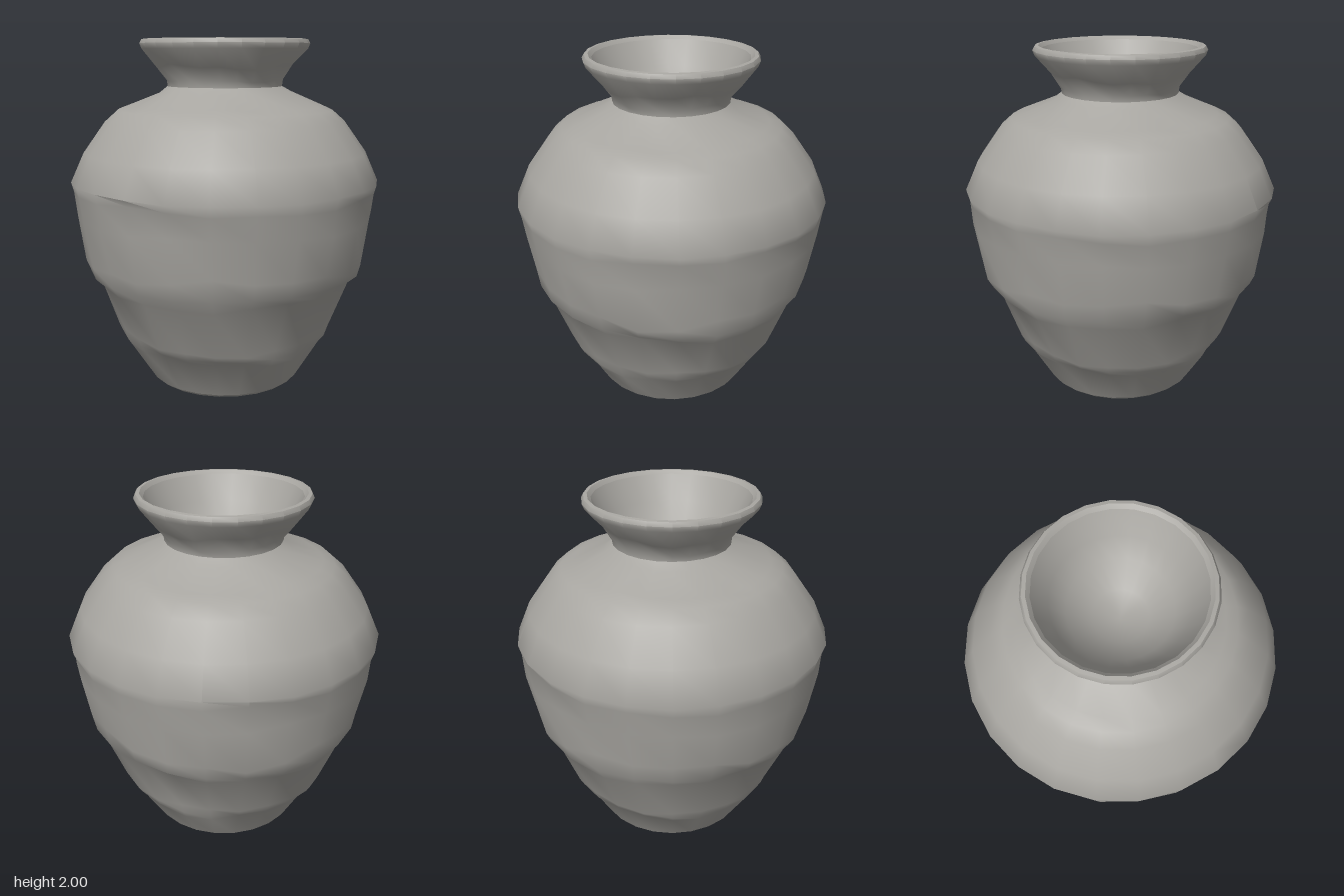
import * as THREE from 'three';
import { toCreasedNormals } from 'three/addons/utils/BufferGeometryUtils.js';

const SIDES = 24;

// Lathe a profile of [radius, height, unevenness] rings, bottom to top on the outside
function turned(name, profile, material) {
  const geo = new THREE.LatheGeometry(profile.map(([r, y]) => new THREE.Vector2(r, y)), SIDES);
  const pos = geo.attributes.position;
  const rings = profile.length;
  // Hand-shaped clay: each ring rises and swells a little around the pot
  for (let i = 0; i < pos.count; i++) {
    const ring = i % rings;
    const amount = profile[ring][2] || 0;
    const a = ((Math.floor(i / rings) % SIDES) / SIDES) * Math.PI * 2;
    const swell = 1 + amount * 0.35 * Math.sin(5 * a + ring * 2.1);
    const lift = amount * (Math.sin(3 * a + ring) + 0.7 * Math.sin(8 * a + ring * 1.7));
    pos.setXYZ(i, pos.getX(i) * swell, pos.getY(i) + lift, pos.getZ(i) * swell);
  }
  const mesh = new THREE.Mesh(toCreasedNormals(geo, 0.9), material);
  mesh.name = name;
  return mesh;
}

export function createModel() {
  const clay = new THREE.MeshStandardMaterial({ color: 0xa8a6a1 });
  clay.name = 'grey clay';

  const vase = new THREE.Group();
  vase.name = 'vase';

  // Flat foot
  vase.add(turned('foot', [[0, 0], [0.42, 0], [0.445, 0.02]], clay));

  // Body in stacked bands with small overhanging ledges, up to the shoulder
  vase.add(turned('body', [
    [0.445, 0.02],
    [0.585, 0.25, 0.015],
    [0.615, 0.285, 0.005],
    [0.635, 0.33, 0.012],
    [0.75, 0.62, 0.015],
    [0.797, 0.675, 0.006],
    [0.815, 0.76, 0.025],
    [0.86, 1.0, 0.01],
    [0.875, 1.14, 0.012],
    [0.89, 1.19, 0.004],
    [0.815, 1.36],
    [0.69, 1.535],
    [0.62, 1.597],
    [0.555, 1.62, 0.006],
    [0.38, 1.695, 0.006],
    [0.33, 1.73],
  ], clay));

  // Flared neck and rounded lip
  vase.add(turned('neck', [
    [0.33, 1.73],
    [0.335, 1.765, 0.006],
    [0.39, 1.84, 0.01],
    [0.475, 1.94],
    [0.487, 1.97],
    [0.475, 1.992],
    [0.455, 1.995],
    [0.435, 1.975],
  ], clay));

  // Inside of the mouth, narrowing to a rounded floor
  vase.add(turned('mouthInterior', [
    [0.435, 1.975],
    [0.36, 1.84],
    [0.28, 1.73],
    [0.15, 1.64],
    [0, 1.6],
  ], clay));

  return vase;
}
